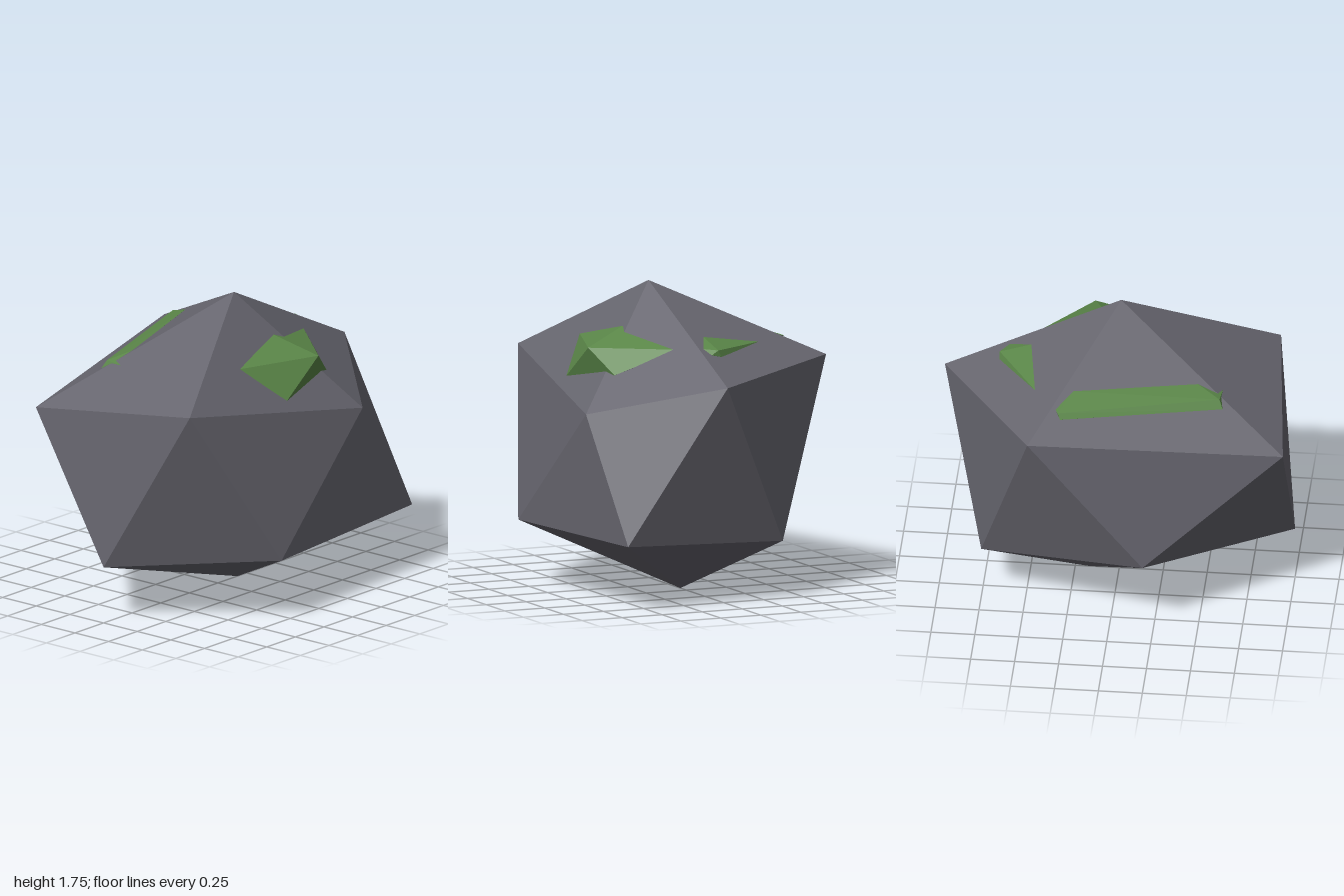
import * as THREE from 'three';
import { ConvexGeometry } from 'three/addons/geometries/ConvexGeometry.js';

const stone = new THREE.MeshStandardMaterial({ color: 0x66656e, flatShading: true });
stone.name = 'stone grey';
const moss = new THREE.MeshStandardMaterial({ color: 0x5a8648, flatShading: true });
moss.name = 'moss green';

// Irregular twenty-sided boulder: two poles joined by two staggered rings of five
function boulderGeometry() {
  const top = [0, 1.75, 0.12];
  const bottom = [0.17, 0, 0];
  const upper = [[-0.87, 1.29, 0.53], [0.43, 1.08, 0.71], [1, 1.27, 0.09], [0.45, 1.33, -0.78], [-0.98, 1.17, -0.52]];
  const lower = [[-0.35, 0.37, 0.77], [0.91, 0.385, 0.67], [0.75, 0.33, -0.37], [-0.2, 0.495, -0.72], [-1, 0.33, 0]];
  const points = [];
  for (let i = 0; i < 5; i++) {
    const j = (i + 1) % 5;
    points.push(
      top, upper[i], upper[j],
      upper[i], lower[i], upper[j],
      lower[i], lower[j], upper[j],
      lower[j], lower[i], bottom
    );
  }
  const geometry = new THREE.BufferGeometry();
  geometry.setAttribute('position', new THREE.Float32BufferAttribute(points.flat(), 3));
  geometry.computeVertexNormals();
  return geometry;
}

// Faceted clump: outline on the stone, raised crest, and a root inside the stone
function mossClump(name, outline, crest, root) {
  const points = [...outline, ...crest, root].map((p) => new THREE.Vector3(...p));
  const mesh = new THREE.Mesh(new ConvexGeometry(points), moss);
  mesh.name = name;
  return mesh;
}

export function createModel() {
  const group = new THREE.Group();
  group.name = 'mossyBoulder';

  const boulder = new THREE.Mesh(boulderGeometry(), stone);
  boulder.name = 'boulder';
  group.add(boulder);

  // Front clump, wrapped over an edge
  group.add(mossClump('frontMoss',
    [[-0.3, 1.42, 0.41], [0.1, 1.515, 0.33], [0.53, 1.43, 0.18], [0.36, 1.28, 0.5], [-0.09, 1.22, 0.59]],
    [[0.19, 1.42, 0.585]],
    [0.12, 1.2, 0.25]));

  // Narrow wedge on the left shoulder
  group.add(mossClump('sideMoss',
    [[0.42, 1.428, -0.4], [0.5, 1.488, 0.01], [0.63, 1.441, 0.07], [0.68, 1.41, 0.04], [0.68, 1.397, -0.02]],
    [[0.68, 1.435, 0.0]],
    [0.5, 1.25, -0.05]));

  // Long ridge across the back
  group.add(mossClump('backMoss',
    [[0.22, 1.482, -0.43], [0.31, 1.432, -0.55], [0.28, 1.397, -0.6], [-0.62, 1.351, -0.34],
      [-0.61, 1.393, -0.2], [-0.47, 1.444, -0.235]],
    [[-0.6, 1.4, -0.315], [0.295, 1.43, -0.585]],
    [-0.13, 1.2, -0.3]));

  return group;
}
